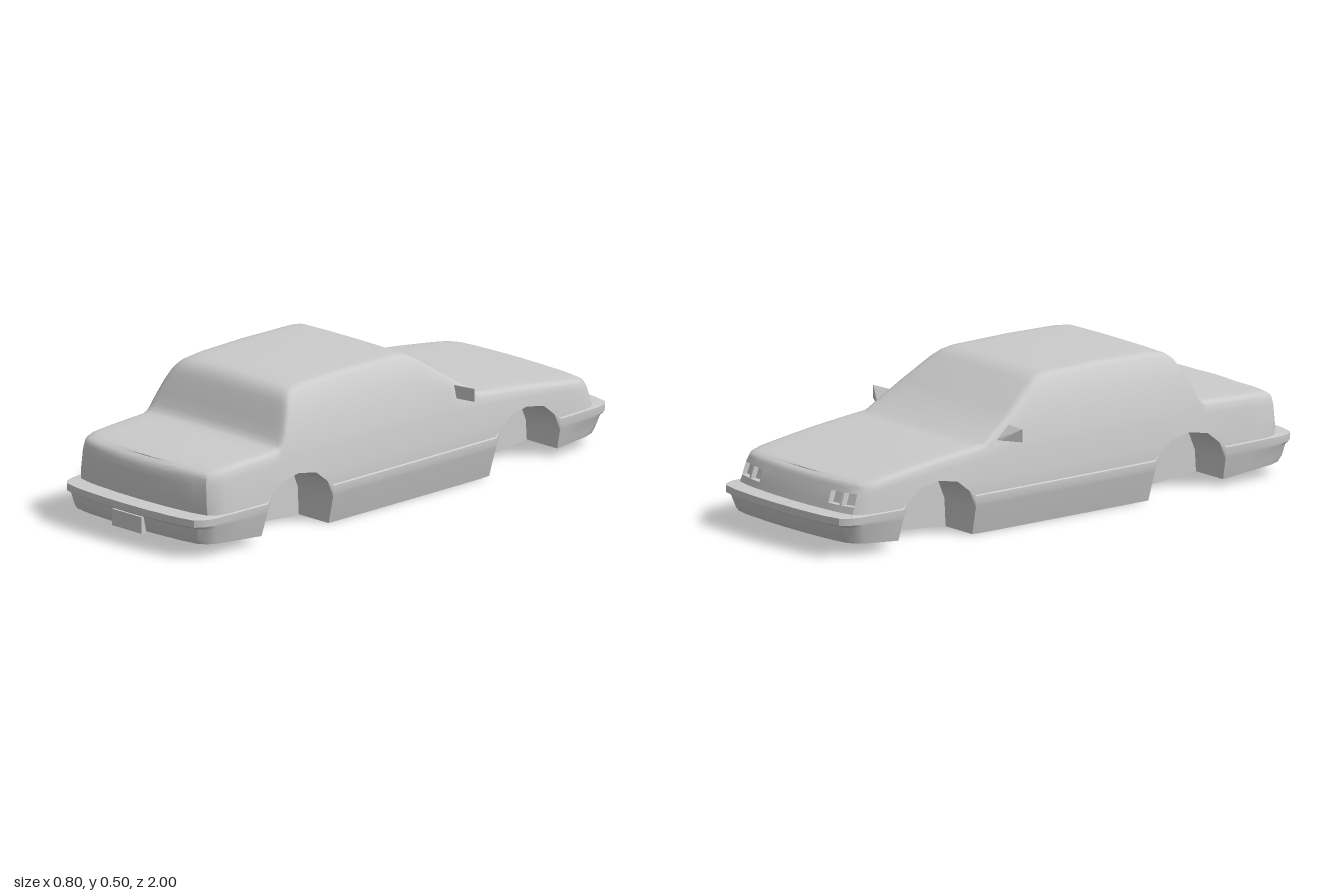
import * as THREE from 'three';
import { toCreasedNormals } from 'three/addons/utils/BufferGeometryUtils.js';
import { ConvexGeometry } from 'three/addons/geometries/ConvexGeometry.js';

// Linear interpolation through [key, value] pairs with ascending keys
function interp(table, k) {
  if (k <= table[0][0]) return table[0][1];
  for (let i = 1; i < table.length; i++) {
    const [k0, v0] = table[i - 1], [k1, v1] = table[i];
    if (k <= k1) return v0 + (v1 - v0) * (k - k0) / (k1 - k0);
  }
  return table[table.length - 1][1];
}

// Centre-line height of hood, windshield, roof, rear window and trunk
const TOP = [[-0.93, 0.235], [-0.9, 0.243], [-0.75, 0.265], [-0.6, 0.285], [-0.48, 0.298], [-0.36, 0.309],
  [-0.22, 0.4], [-0.115, 0.472], [-0.08, 0.49], [-0.04, 0.496], [0.2, 0.499], [0.4, 0.495], [0.46, 0.488],
  [0.48, 0.48], [0.5, 0.462], [0.52, 0.428], [0.545, 0.378], [0.565, 0.338], [0.58, 0.318], [0.6, 0.31],
  [0.77, 0.303], [0.85, 0.298], [0.91, 0.288], [0.935, 0.275]];

// Half width by height
const WIDTH = [[0, 0.318], [0.06, 0.335], [0.115, 0.349], [0.14, 0.35], [0.143, 0.344], [0.2, 0.341], [0.25, 0.335],
  [0.31, 0.325], [0.36, 0.313], [0.4, 0.301], [0.45, 0.281], [0.485, 0.262]];

// Wheel arch outline, relative to the wheel centre
const ARCH = [[-0.16, 0], [-0.155, 0.1], [-0.13, 0.16], [-0.08, 0.2], [0, 0.215],
  [0.08, 0.2], [0.13, 0.16], [0.155, 0.1], [0.16, 0]];
const WHEELS = [0.51, -0.57];
const WELL_X = 0.175;

const floorY = z => Math.max(0, 0.05 * (Math.abs(z) - 0.39) / 0.58);
const wheelAt = z => WHEELS.find(c => Math.abs(z - c) < 0.1601);
function lowerEdge(z) {
  const c = wheelAt(z);
  return c === undefined ? floorY(z) : Math.max(floorY(z), interp(ARCH, z - c));
}
const halfWidth = (y, z) => interp(WIDTH, y) * (1 - 0.05 * Math.abs(z) ** 3);
const eave = z => interp(TOP, z) - 0.02;
const belt = z => Math.min(eave(z), 0.295);
const side = t => z => 0.143 + t * (belt(z) - 0.143);
const pillar = t => z => belt(z) + t * (eave(z) - belt(z));
const rim = drop => z => interp(TOP, z) - drop;

// Rows from sill to roof edge: height rule, rear end z, front end z, inset
const ROWS = [
  [() => 0, 0.965, 0.955, 0], [() => 0.06, 0.973, 0.965, 0], [() => 0.105, 0.983, 0.98, 0],
  [() => 0.115, 1, 1, 0], [() => 0.14, 1, 1, 0],
  [side(0), 0.935, 0.94, 0], [side(0.3), 0.937, 0.932, 0], [side(0.82), 0.934, 0.917, 0], [side(1), 0.929, 0.908, 0],
  [pillar(0.33), 0.929, 0.908, 0], [pillar(0.66), 0.929, 0.908, 0], [eave, 0.929, 0.908, 0],
  [rim(0.011), 0.925, 0.904, 0.004], [rim(0.005), 0.916, 0.895, 0.013], [rim(0.003), 0.9, 0.88, 0.03],
];
const LAMP_ROW = 6;

// Rounded ends in plan: fraction of half width, setback from the end
const CAP = [[0, 0], [0.3, 0.002], [0.56, 0.008], [0.72, 0.013], [0.75, 0.015], [0.91, 0.027], [0.97, 0.05], [1, 0.085]];
const LAMP_CAPS = [2, 4];

function makeStations() {
  const zs = TOP.map(p => p[0]);
  for (const c of WHEELS) for (const p of ARCH) zs.push(c + p[0]);
  const mid = [...new Set(zs.map(z => +z.toFixed(4)))].filter(z => z > -0.78 && z < 0.8).sort((a, b) => b - a);
  return [
    ...CAP.map(([f, dz]) => ({ f, z: row => row[1] - dz })),
    ...mid.map(z => ({ f: 1, z: () => z, bow: Math.abs(z + 0.36) < 0.001 ? 0.022 : 0 })),
    ...CAP.map(([f, dz], cap) => ({ f, cap, z: row => dz - row[2] })).reverse(),
  ];
}

const mirror = p => [-p[0], p[1], p[2]];

// Section over the car at one station, from the +x sill to the -x sill
function section(st) {
  const right = ROWS.map(row => {
    const z = st.z(row), y = Math.max(row[0](z), lowerEdge(z));
    return [st.f * (halfWidth(y, z) - row[3]), y, z];
  });
  const [ex, ey, ez] = right[right.length - 1];
  const crown = [];
  for (let i = 1; i < 12; i++) {
    const f = 1 - i / 6, k = 1 - f * f;
    crown.push([f * ex, ey + 0.003 * k, ez - (st.bow || 0) * k]);
  }
  return [...right, ...crown, ...right.map(mirror).reverse()];
}

// Collects quads and turns them into a mesh
function quadMesh(name, crease, fill) {
  const pos = [];
  const quad = (a, b, c, d) => pos.push(...a, ...b, ...c, ...a, ...c, ...d);
  const both = (a, b, c, d) => {
    quad(a, b, c, d);
    quad(...[d, c, b, a].map(mirror));
  };
  fill(quad, both);
  const g = new THREE.BufferGeometry();
  g.setAttribute('position', new THREE.Float32BufferAttribute(pos, 3));
  return addMesh(name, toCreasedNormals(g, crease));
}

function addMesh(name, geometry) {
  const mesh = new THREE.Mesh(geometry, new THREE.MeshStandardMaterial({ color: 0xcccccc }));
  mesh.name = name;
  return mesh;
}

export function createModel() {
  const car = new THREE.Group();
  car.name = 'sedanBody';
  const stations = makeStations();
  const grid = stations.map(section);
  const count = grid[0].length;

  // Body skin, with sunken headlamp pockets in the nose
  car.add(quadMesh('bodyShell', 0.56, quad => {
    for (let i = 0; i < grid.length - 1; i++) for (let j = 0; j < count - 1; j++) {
      const q = [grid[i][j], grid[i + 1][j], grid[i + 1][j + 1], grid[i][j + 1]];
      const lampRow = j === LAMP_ROW || j === count - 2 - LAMP_ROW;
      if (lampRow && LAMP_CAPS.includes(stations[i + 1].cap)) {
        const back = q.map(p => [p[0], p[1], p[2] + 0.022]);
        quad(...back);
        for (let k = 0; k < 4; k++) quad(q[k], q[(k + 1) % 4], back[(k + 1) % 4], back[k]);
      } else quad(...q);
    }
  }));

  // Underside, cut away at the wheels
  const sills = grid.map(s => s[0]);
  const inWell = i => {
    const c = wheelAt(sills[i][2]);
    return c !== undefined && c === wheelAt(sills[i + 1][2]);
  };
  const inner = ([x, , z]) => [Math.min(x, WELL_X), floorY(z), z];
  const outer = ([x, , z]) => [x, floorY(z), z];
  car.add(quadMesh('floorPan', 0.3, (quad, both) => {
    for (let i = 0; i < sills.length - 1; i++) {
      const a = inner(sills[i]), b = inner(sills[i + 1]);
      quad(a, mirror(a), mirror(b), b);
      if (!inWell(i)) both(outer(sills[i]), a, b, outer(sills[i + 1]));
    }
  }));

  // Wheel wells: arched liner and flat inner wall
  car.add(quadMesh('wheelWells', 0.6, (quad, both) => {
    for (let i = 0; i < sills.length - 1; i++) {
      if (!inWell(i)) continue;
      const a = sills[i], b = sills[i + 1];
      const a1 = [WELL_X, a[1], a[2]], b1 = [WELL_X, b[1], b[2]];
      both(a, a1, b1, b);
      both(inner(a), inner(b), b1, a1);
    }
  }));

  // Door mirrors: wedges with a flat rear face
  for (const s of [1, -1]) {
    const pts = [[0.3, 0.355, -0.247], [0.31, 0.31, -0.247], [0.4, 0.357, -0.26], [0.4, 0.312, -0.26],
      [0.315, 0.312, -0.308], [0.335, 0.312, -0.3]].map(([x, y, z]) => new THREE.Vector3(s * x, y, z));
    car.add(addMesh(s > 0 ? 'leftMirror' : 'rightMirror', new ConvexGeometry(pts)));
  }

  // Blank plate on the rear bumper
  const plate = addMesh('rearPlate', new THREE.BoxGeometry(0.142, 0.058, 0.02));
  plate.position.set(0, 0.076, 0.981);
  car.add(plate);

  return car;
}
